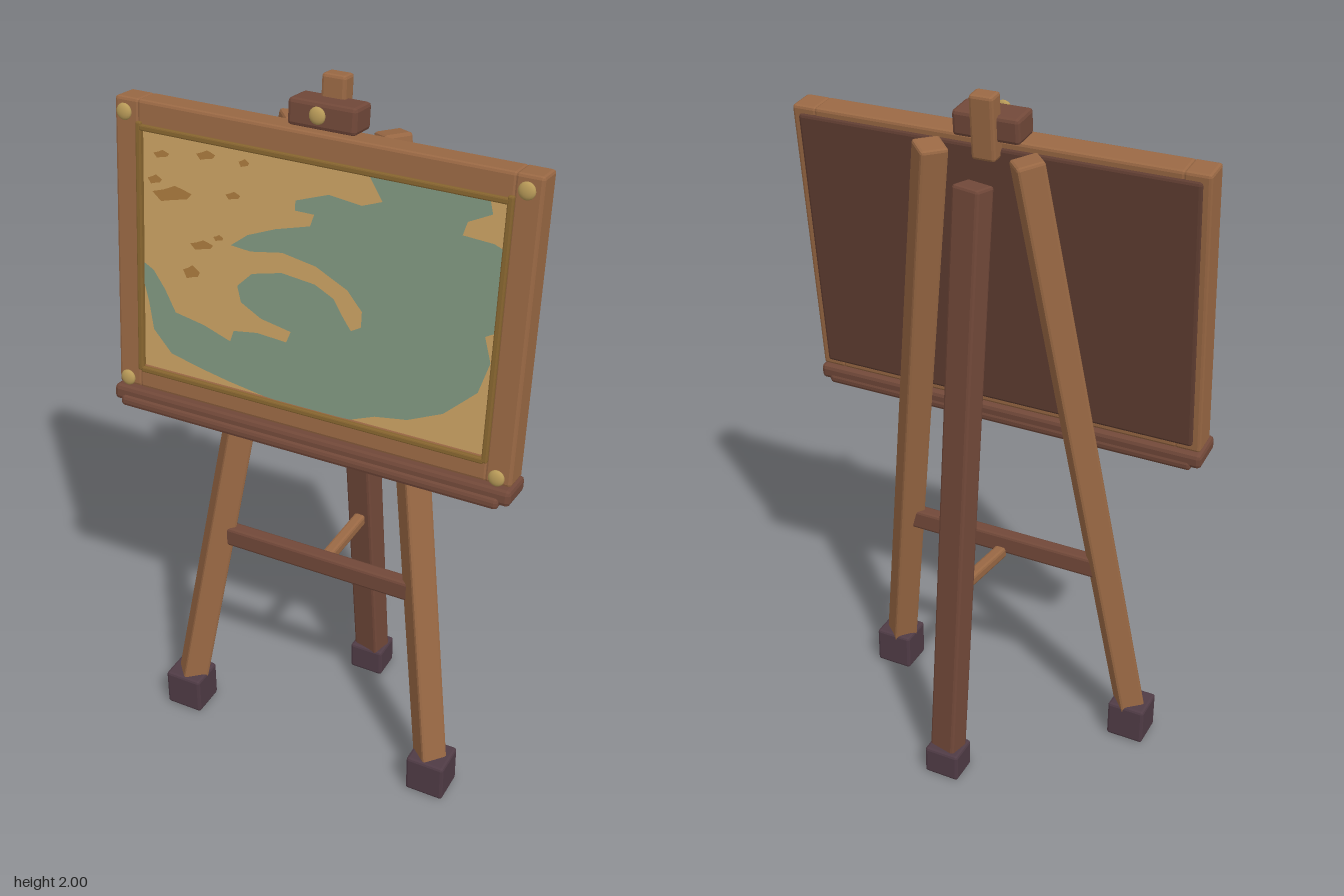
import * as THREE from 'three';
import { RoundedBoxGeometry } from 'three/addons/geometries/RoundedBoxGeometry.js';

const mat = (name, color) => new THREE.MeshStandardMaterial({ name, color });

export function createModel() {
  const model = new THREE.Group();
  model.name = 'easel';
  const wood = mat('lightWood', 0x996844);
  const dark = mat('darkWood', 0x714839);
  const panel = mat('backPanelWood', 0x5f3d31);
  const rubber = mat('footPlum', 0x4f3b45);
  const brass = mat('brass', 0xb89a58);
  const trim = mat('trimBronze', 0x86642f);
  const sand = mat('mapSand', 0xc8a062);
  const green = mat('mapGreen', 0x7f967f);
  const brown = mat('mapBrown', 0xa9793d);

  // Box with flat chamfered edges
  function block(parent, name, material, size, pos, bevel = 0.008) {
    const geo = new RoundedBoxGeometry(...size, 1, bevel);
    geo.computeVertexNormals();
    const mesh = new THREE.Mesh(geo, material);
    mesh.name = name;
    mesh.position.set(...pos);
    parent.add(mesh);
    return mesh;
  }

  // Beam running between two points
  function beam(name, material, from, to, w, d) {
    const a = new THREE.Vector3(...from), b = new THREE.Vector3(...to);
    const mid = a.clone().add(b).multiplyScalar(0.5);
    const mesh = block(model, name, material, [w, d, a.distanceTo(b)], mid.toArray());
    mesh.lookAt(b);
    return mesh;
  }

  // Flattened round stud
  function stud(parent, name, pos) {
    const mesh = new THREE.Mesh(new THREE.SphereGeometry(0.022, 14, 10), brass);
    mesh.name = name;
    mesh.scale.z = 0.45;
    mesh.position.set(...pos);
    parent.add(mesh);
  }

  // Legs and feet
  for (const s of [-1, 1]) {
    const side = s > 0 ? 'left' : 'right';
    beam(side + 'FrontLeg', wood, [s * 0.4, 0.06, 0.2], [s * 0.132, 1.86, -0.036], 0.075, 0.075);
    block(model, side + 'FrontFoot', rubber, [0.114, 0.116, 0.105], [s * 0.4, 0.062, 0.197]);
  }
  beam('backLeg', dark, [0.022, 0.05, -0.197], [-0.006, 1.79, -0.075], 0.085, 0.066);
  block(model, 'backFoot', rubber, [0.106, 0.088, 0.092], [0.02, 0.044, -0.2]);

  // Braces between the legs
  block(model, 'crossBar', dark, [0.62, 0.06, 0.042], [0, 0.62, 0.125]);
  beam('backBrace', wood, [0, 0.592, 0.115], [0.012, 0.61, -0.125], 0.034, 0.034);

  // Board, leaning back
  const board = new THREE.Group();
  board.name = 'board';
  board.position.set(0, 1.48, 0.11);
  board.rotation.x = -0.103;
  model.add(board);

  for (const s of [-1, 1]) {
    block(board, 'frameSide', wood, [0.072, 0.8, 0.08], [s * 0.54, 0, 0]);
    block(board, 'frameRail', wood, [1.02, 0.072, 0.08], [0, s * 0.364, 0]);
    block(board, 'trimSide', trim, [0.016, 0.69, 0.03], [s * 0.502, 0, 0.035], 0.004);
    block(board, 'trimRail', trim, [1.0, 0.016, 0.03], [0, s * 0.336 - 0.005, 0.035], 0.004);
    for (const t of [-1, 1]) stud(board, 'cornerStud', [s * 0.54, t * 0.37 - 0.004, 0.052]);
  }
  block(board, 'backPanel', panel, [1.11, 0.76, 0.05], [0, 0, -0.024]);
  block(board, 'mapSheet', sand, [1.0, 0.68, 0.02], [0, -0.004, 0.026], 0.002);

  // Painted map: outline points are in hundredths, from the sheet centre
  function paint(name, material, points, z) {
    const shape = new THREE.Shape(points.map(([x, y]) => new THREE.Vector2(x / 100, y / 100)));
    const mesh = new THREE.Mesh(new THREE.ShapeGeometry(shape), material);
    mesh.name = name;
    mesh.position.z = z;
    board.add(mesh);
  }
  paint('greenLand', green, [
    [14, 32.6], [45, 32.6], [46, 29], [40, 26], [39, 22.5], [47, 22], [49.6, 21],
    [49.6, 0], [47, -1.5], [49, -8], [46.5, -16.5], [38, -24.5], [28.5, -28.8],
    [19.5, -30.3], [12.7, -33], [0, -33.5], [-12, -33], [-23, -31.4], [-32, -29.7],
    [-41, -27.6], [-46.5, -21.8], [-48, -14], [-49.6, -8.5], [-49.6, -3.2],
    [-46.5, -4.8], [-43, -9.5], [-39.7, -15.4], [-31, -17], [-23, -19.7],
    [-22, -16.5], [-15, -15.4], [-6.5, -16], [-5.3, -12.8], [-14, -11.2],
    [-20, -8], [-21.2, -3.7], [-17, 0.5], [-8.5, 2.6], [1, 1.6], [6.3, -1],
    [9.5, -5.8], [11.6, -8.5], [14.3, -6.9], [14.3, -2.7], [10, 2.1], [1, 6.4],
    [-8.5, 8], [-17.5, 6.4], [-23.3, 6.9], [-18.5, 10.6], [-10.6, 13.8],
    [-1, 16.5], [0, 19.7], [-5.3, 19.7], [-5.3, 22.3], [3.7, 25.5], [12.7, 24.5], [18, 26.5],
  ], 0.038);
  const spots = [
    [-41, 17, 5.5, 2], [-46, 20, 2, 1.2], [-31, 29, 2.6, 1.2], [-44, 27, 2.2, 1],
    [-32, 5, 3.2, 1.3], [-35, -3, 2.4, 1.8], [-23, 20, 2, 1], [-20, 29, 1.4, 1], [-27, 8, 1.4, 0.8],
  ];
  for (const [x, y, rx, ry] of spots) {
    const ring = Array.from({ length: 9 }, (_, i) => {
      const a = (i / 9) * Math.PI * 2, r = i % 2 ? 0.8 : 1.1;
      return [x + rx * r * Math.cos(a), y + ry * r * Math.sin(a) + rx * 0.2 * Math.cos(a)];
    });
    paint('brownHill', brown, ring, 0.038);
  }

  // Tray under the board
  block(board, 'tray', dark, [1.165, 0.044, 0.112], [0, -0.424, 0.004], 0.012);
  block(board, 'trayLip', dark, [1.11, 0.03, 0.125], [0, -0.441, 0.008], 0.01);

  // Top clamp, peg and knob
  const clamp = new THREE.Group();
  clamp.name = 'topClamp';
  clamp.position.set(0, 1.912, 0.045);
  clamp.rotation.x = -0.103;
  model.add(clamp);
  block(clamp, 'clampBlock', dark, [0.185, 0.068, 0.088], [0, 0, 0], 0.01);
  block(clamp, 'clampPeg', wood, [0.066, 0.17, 0.05], [0, 0.005, -0.038]);
  stud(clamp, 'clampKnob', [0, 0.008, 0.064]);

  return model;
}
